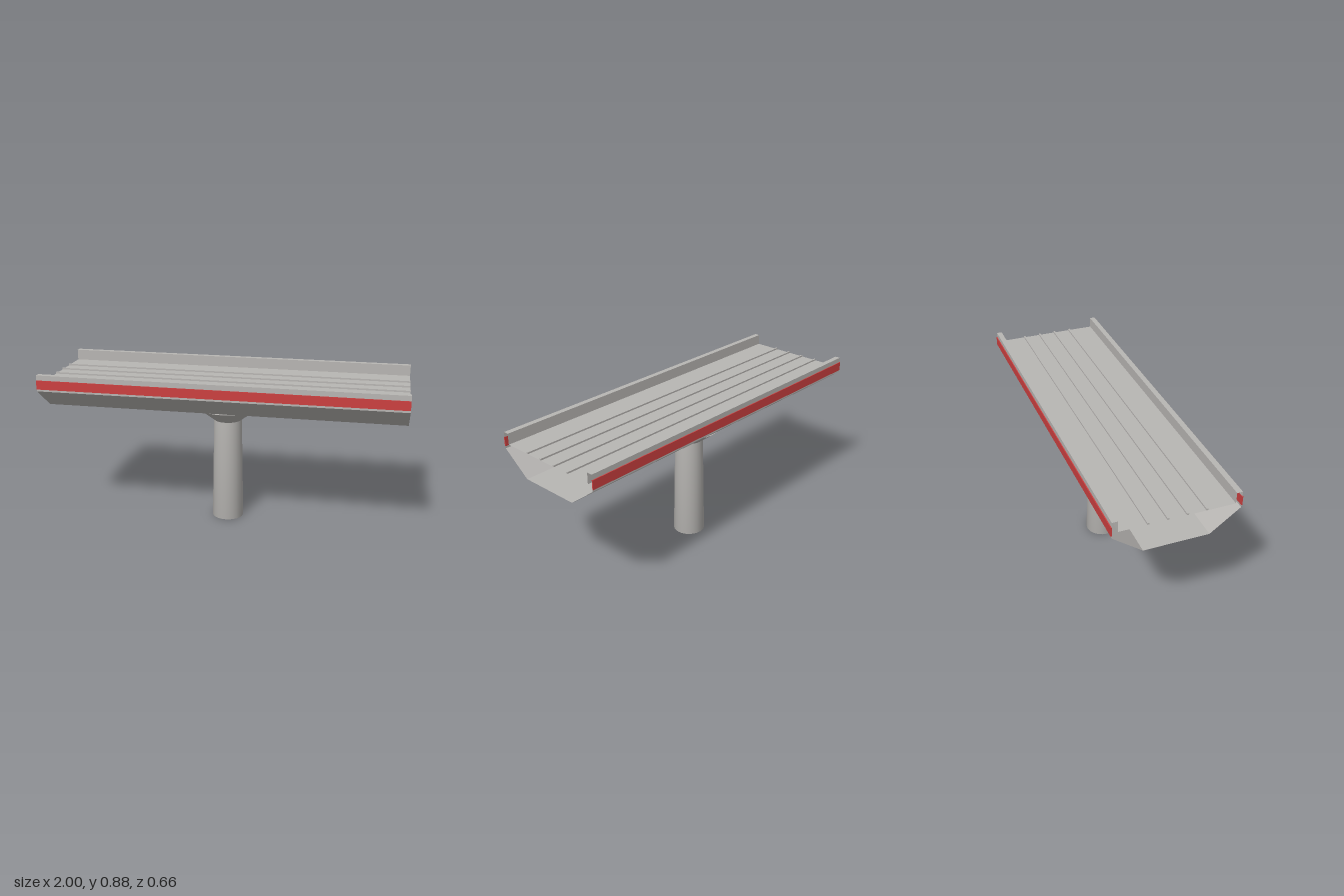
import * as THREE from 'three';

const concrete = new THREE.MeshStandardMaterial({ color: 0xb8b6b3, side: THREE.DoubleSide });
concrete.name = 'concrete grey';
const red = new THREE.MeshStandardMaterial({ color: 0xcc4040 });
red.name = 'stripe red';

// Open-ended tube along x: one flat strip per side of a closed [z, y] profile
function prism(profile, halfLength) {
  const pos = [];
  profile.forEach(([z0, y0], i) => {
    const [z1, y1] = profile[(i + 1) % profile.length];
    const a = [-halfLength, y0, z0], b = [halfLength, y0, z0];
    const c = [halfLength, y1, z1], d = [-halfLength, y1, z1];
    pos.push(...a, ...b, ...c, ...a, ...c, ...d);
  });
  const geo = new THREE.BufferGeometry();
  geo.setAttribute('position', new THREE.Float32BufferAttribute(pos, 3));
  geo.computeVertexNormals();
  return geo;
}

export function createModel() {
  const group = new THREE.Group();
  const add = (name, geo, mat, x = 0, y = 0, z = 0) => {
    const mesh = new THREE.Mesh(geo, mat);
    mesh.name = name;
    mesh.position.set(x, y, z);
    group.add(mesh);
  };

  // Trough-shaped bridge deck with a parapet along each edge
  const half = [[0.17, 0.667], [0.325, 0.785], [0.325, 0.875], [0.295, 0.875], [0.295, 0.815]];
  const mirrored = half.map(([z, y]) => [-z, y]).reverse();
  add('deck', prism([...half, ...mirrored], 1), concrete);

  // Low rails on the deck
  for (const z of [-0.148, -0.049, 0.049, 0.148]) {
    add('rail', new THREE.BoxGeometry(2, 0.009, 0.01), concrete, 0, 0.8195, z);
  }

  // Painted stripe on each parapet
  for (const side of [-1, 1]) {
    add('stripe', new THREE.BoxGeometry(2, 0.05, 0.006), red, 0, 0.822, side * 0.327);
  }

  // Tapered column and its flared head
  const lathe = (pts) => new THREE.LatheGeometry(pts.map(([r, y]) => new THREE.Vector2(r, y)), 24);
  add('column', lathe([[0, 0], [0.09, 0], [0.079, 0.589]]), concrete);
  add('columnHead', lathe([[0.079, 0.589], [0.173, 0.662]]), concrete);

  return group;
}
